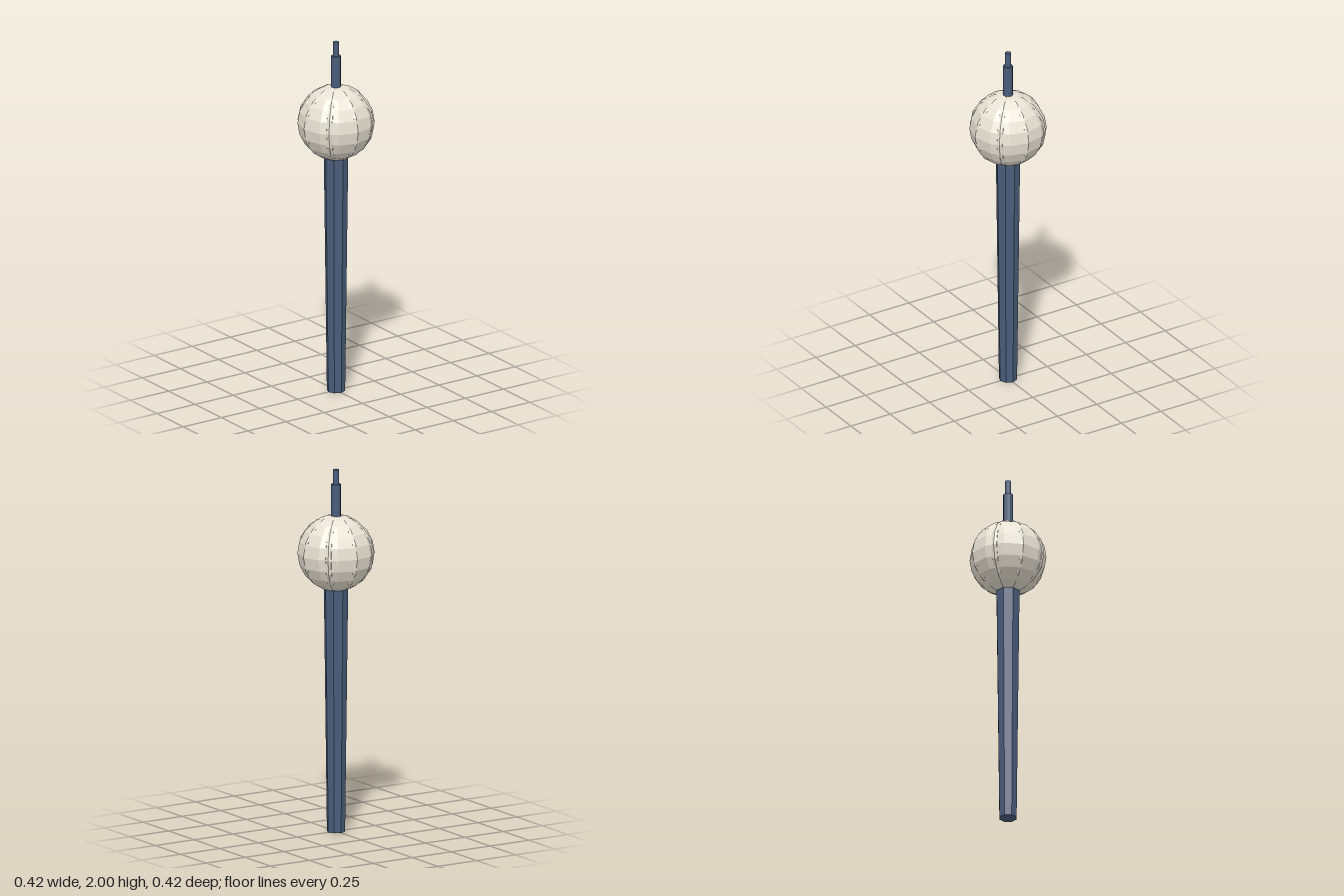
import * as THREE from 'three';

export function createModel() {
  const model = new THREE.Group();
  const blue = new THREE.MeshStandardMaterial({ color: 0x4a5d7a, flatShading: true });
  const cream = new THREE.MeshStandardMaterial({ color: 0xe8e2d4, flatShading: true });

  const add = (name, geometry, material, y) => {
    const mesh = new THREE.Mesh(geometry, material);
    mesh.name = name;
    mesh.position.y = y;
    model.add(mesh);
    return mesh;
  };
  // upright round part between two heights
  const post = (name, rTop, rBottom, y0, y1, sides) =>
    add(name, new THREE.CylinderGeometry(rTop, rBottom, y1 - y0, sides), blue, (y0 + y1) / 2);

  // tapered shaft, ending just inside the ball
  post('shaft', 0.067, 0.05, 0, 1.36, 8);

  // faceted ball with meridian ribs barely breaking its surface
  const ballY = 1.54;
  add('ball', new THREE.SphereGeometry(0.208, 12, 10), cream, ballY);
  for (let i = 0; i < 4; i++) {
    const rib = add('rib', new THREE.TorusGeometry(0.19, 0.02, 8, 16), cream, ballY);
    rib.rotation.y = (i * Math.PI) / 4;
  }

  // stepped spike on top
  post('spike', 0.026, 0.026, 1.72, 1.92, 12);
  post('spikeTip', 0.017, 0.017, 1.92, 2, 12);

  return model;
}
